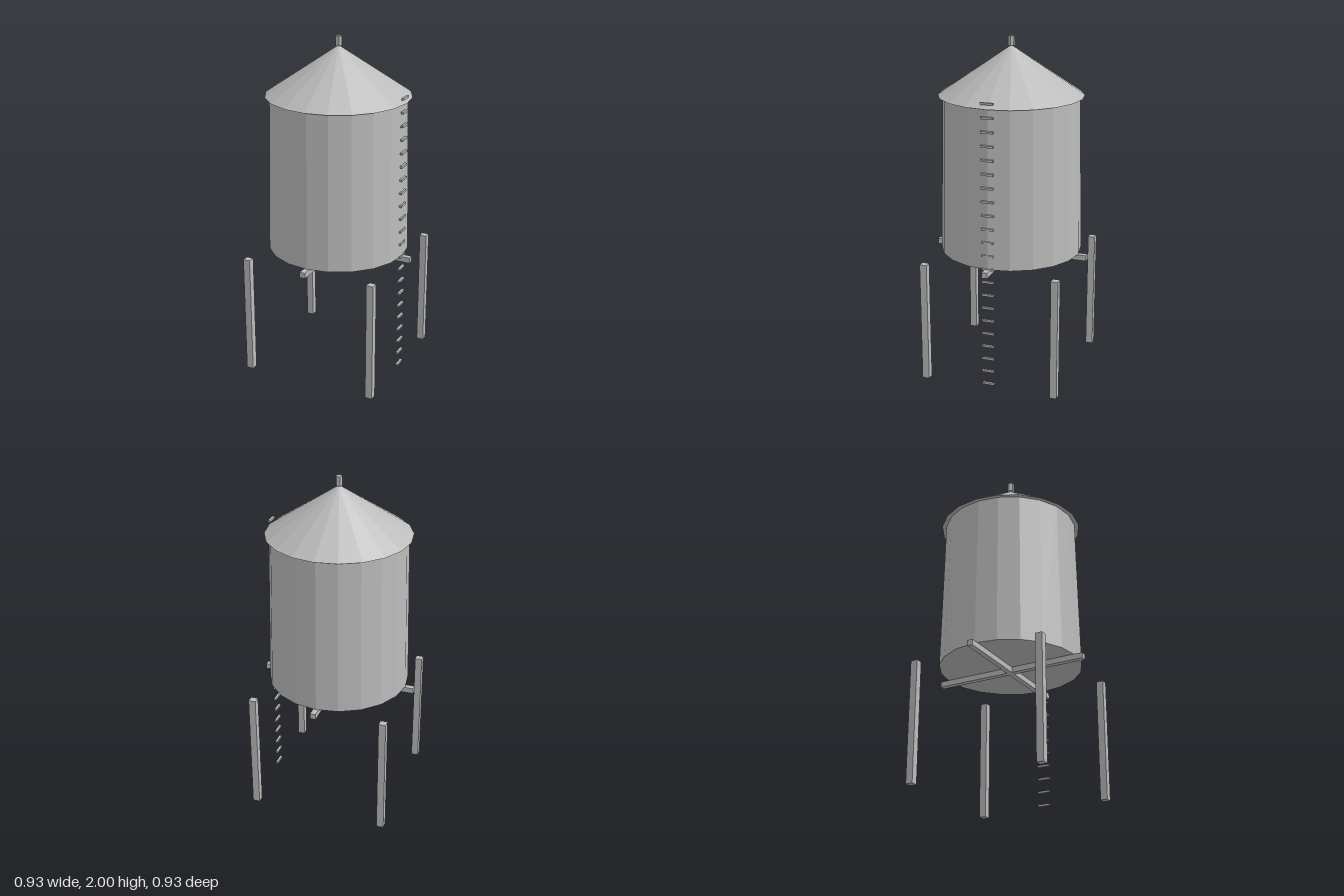
import * as THREE from 'three';

export function createModel() {
  const model = new THREE.Group();
  model.name = 'waterTower';
  const metal = new THREE.MeshStandardMaterial({ color: 0xbbbbbb, flatShading: true });
  metal.name = 'grey metal';

  function add(name, geometry, x, y, z) {
    const mesh = new THREE.Mesh(geometry, metal);
    mesh.name = name;
    mesh.position.set(x, y, z);
    model.add(mesh);
    return mesh;
  }

  // Slightly tapered twenty-sided tank
  const tankBottom = 0.74, eaves = 1.662, peak = 1.948;
  add('tank', new THREE.CylinderGeometry(0.396, 0.415, eaves - tankBottom, 20),
    0, (tankBottom + eaves) / 2, 0);

  // Conical roof, closed underneath, with a hexagonal vent
  add('roof', new THREE.ConeGeometry(0.422, peak - eaves, 20), 0, (eaves + peak) / 2, 0);
  const vent = add('vent', new THREE.CylinderGeometry(0.02, 0.02, 0.055, 6), 0, 1.9725, 0);
  vent.rotation.y = Math.PI / 6;

  // Crossed beams below the tank
  add('beamAcross', new THREE.BoxGeometry(0.932, 0.033, 0.033), 0, 0.7235, 0);
  add('beamAlong', new THREE.BoxGeometry(0.033, 0.033, 0.932), 0, 0.7235, 0);

  // Four free-standing square legs
  for (const x of [-0.395, 0.395]) {
    for (const z of [-0.395, 0.395]) {
      add('leg', new THREE.BoxGeometry(0.042, 0.718, 0.042), x, 0.359, z);
    }
  }

  // Ladder of loose rungs up the +x side
  const rung = new THREE.BoxGeometry(0.0145, 0.012, 0.072);
  for (let i = 0; i < 22; i++) add('rung', rung, 0.4085, 0.027 + i * 0.0793, 0);

  return model;
}
